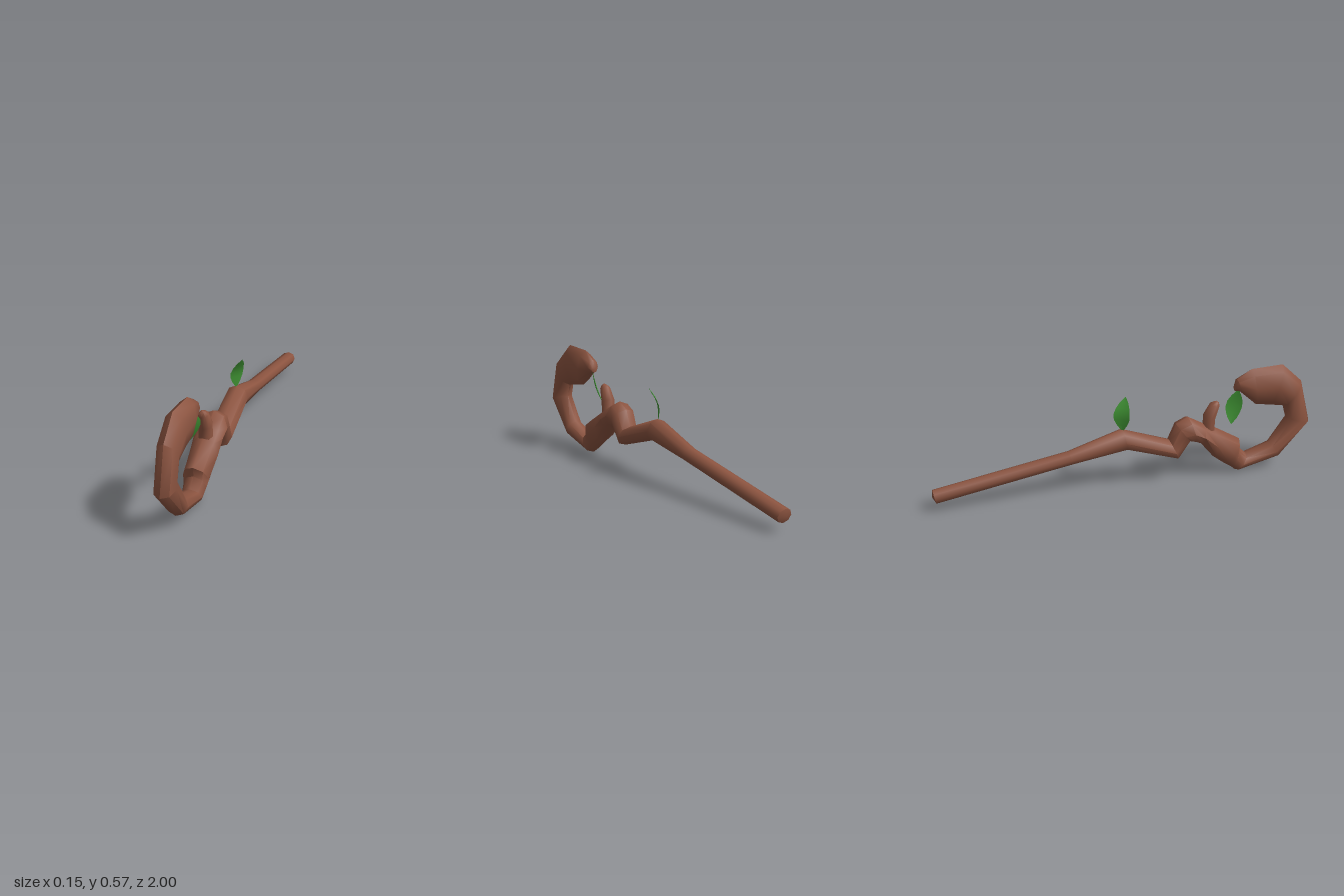
import * as THREE from 'three';
import { toCreasedNormals } from 'three/addons/utils/BufferGeometryUtils.js';

const SIDES = 8;

// Loft eight-sided rings; each ring is [zA, yA, zB, yB, halfWidth], A and B being opposite edges.
function loft(rings) {
  const pos = [], index = [];
  rings.forEach(([za, ya, zb, yb, w], i) => {
    for (let k = 0; k < SIDES; k++) {
      const a = (k / SIDES) * Math.PI * 2, c = Math.cos(a) / 2;
      pos.push(w * Math.sin(a), (ya + yb) / 2 + (ya - yb) * c, (za + zb) / 2 + (za - zb) * c);
      if (i === rings.length - 1) continue;
      const p = i * SIDES + k, q = i * SIDES + (k + 1) % SIDES;
      // Skip the empty triangles where a ring closes to a point
      if (w > 0) index.push(p, p + SIDES, q);
      if (rings[i + 1][4] > 0) index.push(q, p + SIDES, q + SIDES);
    }
  });
  const g = new THREE.BufferGeometry();
  g.setAttribute('position', new THREE.Float32BufferAttribute(pos, 3));
  g.setIndex(index);
  return toCreasedNormals(g, 0.95);
}

// A curved leaf blade along base, middle and tip, slightly folded at the midrib.
function leaf(base, mid, tip, across, width) {
  const curve = new THREE.CatmullRomCurve3([base, mid, tip]);
  const profile = [0.12, 0.62, 0.95, 1, 0.85, 0.55, 0.04];
  const fold = new THREE.Vector3().crossVectors(across, new THREE.Vector3(0, 1, 0));
  const pos = [], index = [];
  profile.forEach((s, i) => {
    const c = curve.getPoint(i / (profile.length - 1));
    for (const side of [-1, 0, 1]) {
      const p = c.clone().addScaledVector(across, side * s * width / 2);
      if (side === 0) p.addScaledVector(fold, 0.006 * s);
      pos.push(p.x, p.y, p.z);
    }
    if (i === 0) return;
    for (let k = 0; k < 2; k++) {
      const a = (i - 1) * 3 + k, b = a + 3;
      index.push(a, a + 1, b, a + 1, b + 1, b);
    }
  });
  const g = new THREE.BufferGeometry();
  g.setAttribute('position', new THREE.Float32BufferAttribute(pos, 3));
  g.setIndex(index);
  g.computeVertexNormals();
  return g;
}

export function createModel() {
  const group = new THREE.Group();
  group.name = 'woodenStaff';
  const wood = new THREE.MeshStandardMaterial({ color: 0x8c5440 });
  wood.name = 'wood';
  const green = new THREE.MeshStandardMaterial({ color: 0x3f9133, side: THREE.DoubleSide });
  green.name = 'leafGreen';
  const add = (name, geometry, material) => {
    const m = new THREE.Mesh(geometry, material);
    m.name = name;
    group.add(m);
  };

  // Shaft, kinked middle and curled hook in one branch
  add('staffBranch', loft([
    [-1, 0.08, -1, 0.08, 0],
    [-0.995, 0.115, -0.98, 0.045, 0.04],
    [-0.31, 0.233, -0.29, 0.163, 0.04],
    [-0.03, 0.32, -0.01, 0.206, 0.06],
    [0.22, 0.228, 0.265, 0.12, 0.065],
    [0.255, 0.313, 0.33, 0.215, 0.07],
    [0.32, 0.345, 0.36, 0.2, 0.076],
    [0.4, 0.3, 0.395, 0.185, 0.072],
    [0.464, 0.27, 0.465, 0.1, 0.07],
    [0.608, 0.185, 0.53, 0.05, 0.065],
    [0.602, 0.137, 0.565, 0.028, 0.057],
    [0.65, 0.094, 0.592, 0.005, 0.052],
    [0.78, 0.142, 0.83, 0.06, 0.052],
    [0.865, 0.276, 1, 0.245, 0.052],
    [0.845, 0.345, 0.94, 0.475, 0.052],
    [0.77, 0.358, 0.83, 0.577, 0.052],
    [0.69, 0.372, 0.66, 0.57, 0.05],
    [0.6, 0.453, 0.58, 0.523, 0.034],
    [0.57, 0.46, 0.572, 0.495, 0.018],
    [0.568, 0.477, 0.568, 0.477, 0],
  ]), wood);

  // Short broken twig
  add('twig', loft([
    [0.4, 0.22, 0.47, 0.22, 0.036],
    [0.402, 0.34, 0.468, 0.315, 0.036],
    [0.437, 0.402, 0.49, 0.385, 0.027],
    [0.458, 0.412, 0.488, 0.404, 0.014],
    [0.475, 0.416, 0.475, 0.416, 0],
  ]), wood);

  // Leaf standing on the shaft and leaf hanging from the hook
  const v = (x, y, z) => new THREE.Vector3(x, y, z);
  const across = v(0.5, 0, -0.85).normalize();
  add('shaftLeaf', leaf(v(-0.005, 0.315, -0.03), v(-0.002, 0.4, -0.033), v(0.035, 0.48, -0.002), across, 0.084), green);
  add('hookLeaf', leaf(v(0, 0.46, 0.59), v(-0.01, 0.375, 0.565), v(-0.035, 0.292, 0.545), across, 0.084), green);
  return group;
}
